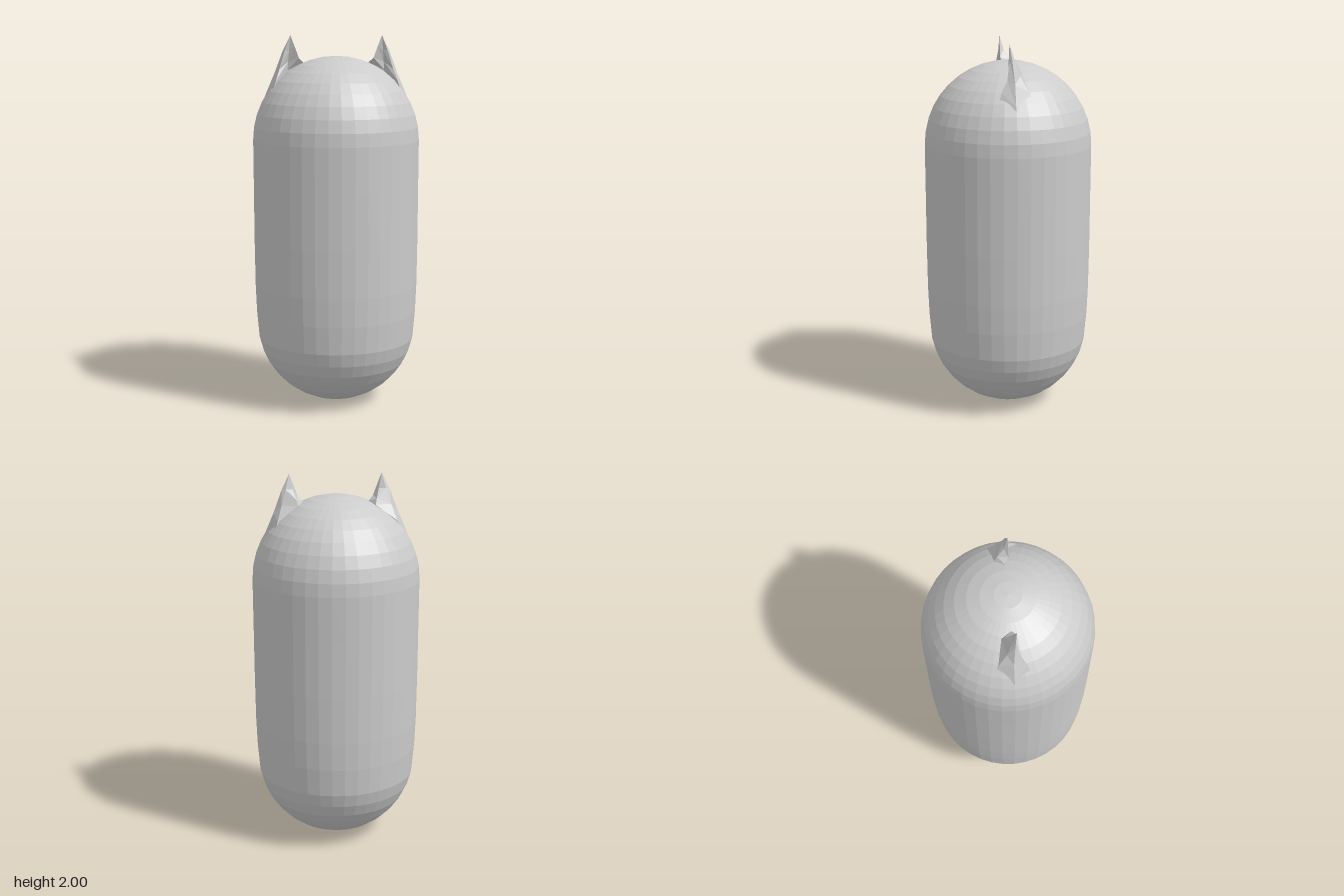
import * as THREE from 'three';

const material = new THREE.MeshStandardMaterial({ color: 0xcccccc, flatShading: true });

// Capsule body: rounded bottom, slightly swelling wall, domed top
function makeBody() {
  const profile = [];
  for (let i = 0; i <= 8; i++) {
    const a = (i / 8) * Math.PI * 0.44;
    profile.push(new THREE.Vector2(0.432 * Math.sin(a), 0.432 * (1 - Math.cos(a))));
  }
  [[0.437, 0.5], [0.443, 0.65], [0.446, 0.9], [0.447, 1.2]].forEach(([r, y]) => profile.push(new THREE.Vector2(r, y)));
  for (let i = 0; i <= 10; i++) {
    const a = (i / 10) * Math.PI / 2;
    profile.push(new THREE.Vector2(i === 10 ? 0 : 0.448 * Math.cos(a), 1.442 + 0.448 * Math.sin(a)));
  }
  const body = new THREE.Mesh(new THREE.LatheGeometry(profile, 40), material);
  body.name = 'body';
  return body;
}

// Ear ribs running from the tip down into the head, in order around the ear
const tip = [0.245, 2.0, 0.02];
const ribs = [
  [[0.285, 1.92, 0.01], [0.33, 1.8, 0], [0.375, 1.695, 0], [0.43, 1.55, 0]],            // outer ridge
  [[0.275, 1.92, 0.022], [0.305, 1.82, 0.038], [0.325, 1.76, 0.07], [0.36, 1.64, 0.1]], // front rim
  [[0.252, 1.92, 0.012], [0.257, 1.86, 0], [0.26, 1.815, 0], [0.26, 1.74, 0]],          // front hollow
  [[0.222, 1.94, 0.02], [0.2, 1.88, 0.02], [0.175, 1.855, 0], [0.16, 1.8, 0]],          // inner rim
  [[0.228, 1.92, 0], [0.212, 1.87, -0.035], [0.205, 1.84, -0.05], [0.2, 1.77, -0.05]],  // inner back
  [[0.265, 1.92, -0.004], [0.29, 1.84, -0.03], [0.315, 1.76, -0.075], [0.35, 1.65, -0.11]], // back
];

function makeEar(side, name) {
  const positions = [];
  const tri = (a, b, c) => (side > 0 ? [a, b, c] : [a, c, b])
    .forEach(([x, y, z]) => positions.push(side * x, y, z));
  ribs.forEach((rib, i) => {
    const next = ribs[(i + 1) % ribs.length];
    tri(tip, next[0], rib[0]);
    for (let j = 0; j < rib.length - 1; j++) {
      tri(rib[j], next[j], rib[j + 1]);
      tri(next[j], next[j + 1], rib[j + 1]);
    }
  });
  const geometry = new THREE.BufferGeometry();
  geometry.setAttribute('position', new THREE.Float32BufferAttribute(positions, 3));
  geometry.computeVertexNormals();
  const ear = new THREE.Mesh(geometry, material);
  ear.name = name;
  return ear;
}

export function createModel() {
  const model = new THREE.Group();
  model.name = 'earedCapsule';
  model.add(makeBody(), makeEar(1, 'leftEar'), makeEar(-1, 'rightEar'));
  return model;
}
